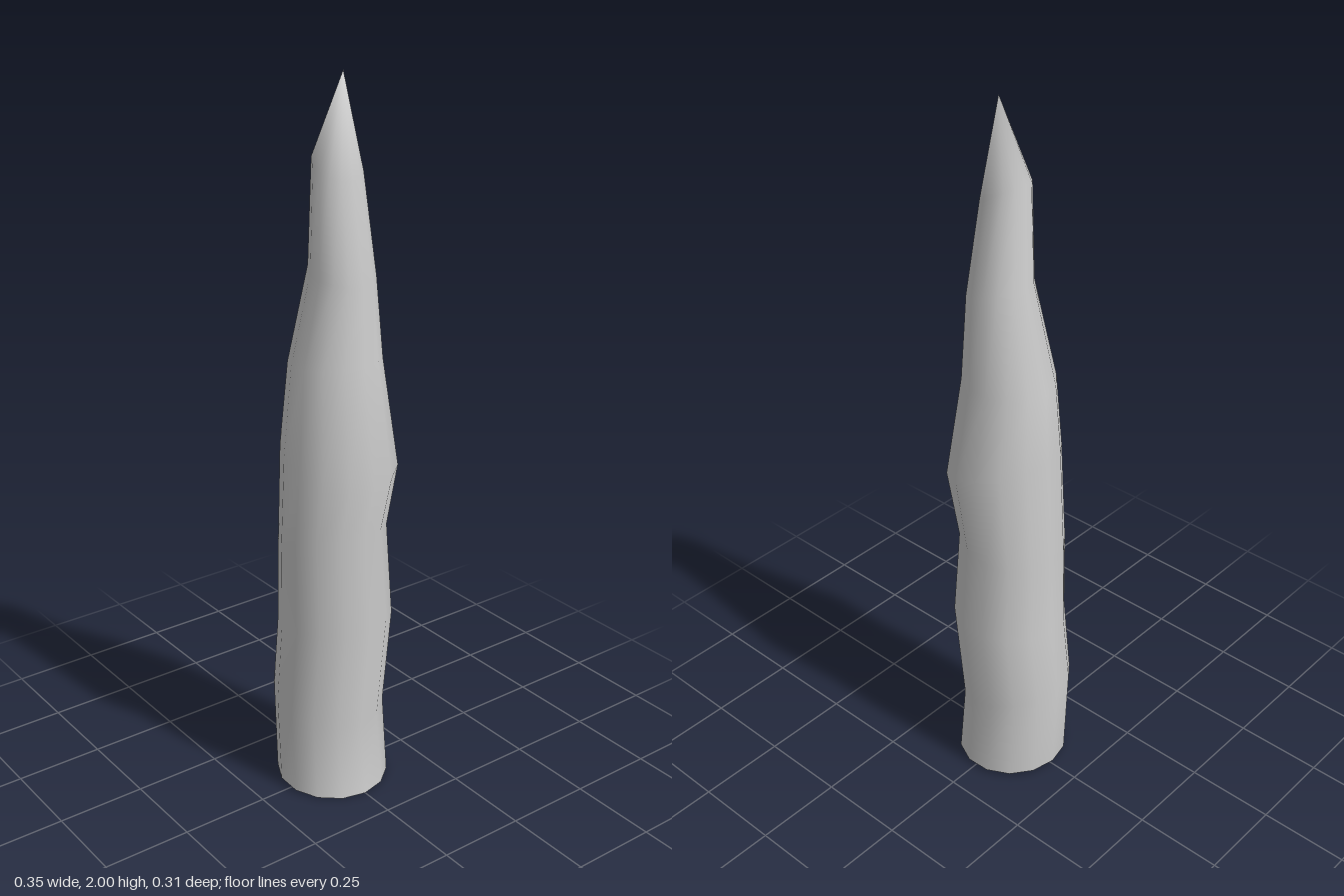
import * as THREE from 'three';

const SIDES = 14;

// Cross-sections from base to tip: left x, left y, right x, right y, depth radius
const RINGS = [
  [-0.166, 0.016, 0.148, 0.003, 0.158],
  [-0.178, 0.30, 0.125, 0.215, 0.156],
  [-0.153, 0.50, 0.160, 0.53, 0.158],
  [-0.150, 0.73, 0.135, 0.80, 0.150],
  [-0.130, 1.05, 0.175, 0.955, 0.158],
  [-0.120, 1.25, 0.130, 1.27, 0.123],
  [-0.052, 1.53, 0.121, 1.48, 0.087],
  [-0.047, 1.80, 0.076, 1.74, 0.067],
];
const TIP = [0.037, 2, 0];

function spikeGeometry() {
  const positions = [];
  const index = [];

  // Tilted elliptical rings
  for (const [x0, y0, x1, y1, depth] of RINGS) {
    for (let i = 0; i < SIDES; i++) {
      const a = (i / SIDES) * Math.PI * 2;
      const t = (1 + Math.cos(a)) / 2;
      positions.push(
        THREE.MathUtils.lerp(x0, x1, t),
        THREE.MathUtils.lerp(y0, y1, t),
        Math.sin(a) * depth
      );
    }
  }
  positions.push(...TIP);

  // Side walls, closing to the pointed tip; the base stays open
  const last = RINGS.length - 1;
  const tip = RINGS.length * SIDES;
  for (let r = 0; r <= last; r++) {
    for (let i = 0; i < SIDES; i++) {
      const j = (i + 1) % SIDES;
      const a = r * SIDES + i;
      const b = r * SIDES + j;
      if (r === last) index.push(a, tip, b);
      else index.push(a, a + SIDES, b, b, a + SIDES, b + SIDES);
    }
  }

  const geometry = new THREE.BufferGeometry();
  geometry.setAttribute('position', new THREE.Float32BufferAttribute(positions, 3));
  geometry.setIndex(index);
  geometry.computeVertexNormals();
  return geometry;
}

export function createModel() {
  const group = new THREE.Group();
  group.name = 'stalagmite';
  const material = new THREE.MeshStandardMaterial({ color: 0xcccccc, side: THREE.DoubleSide });
  const spike = new THREE.Mesh(spikeGeometry(), material);
  spike.name = 'spike';
  group.add(spike);
  return group;
}
